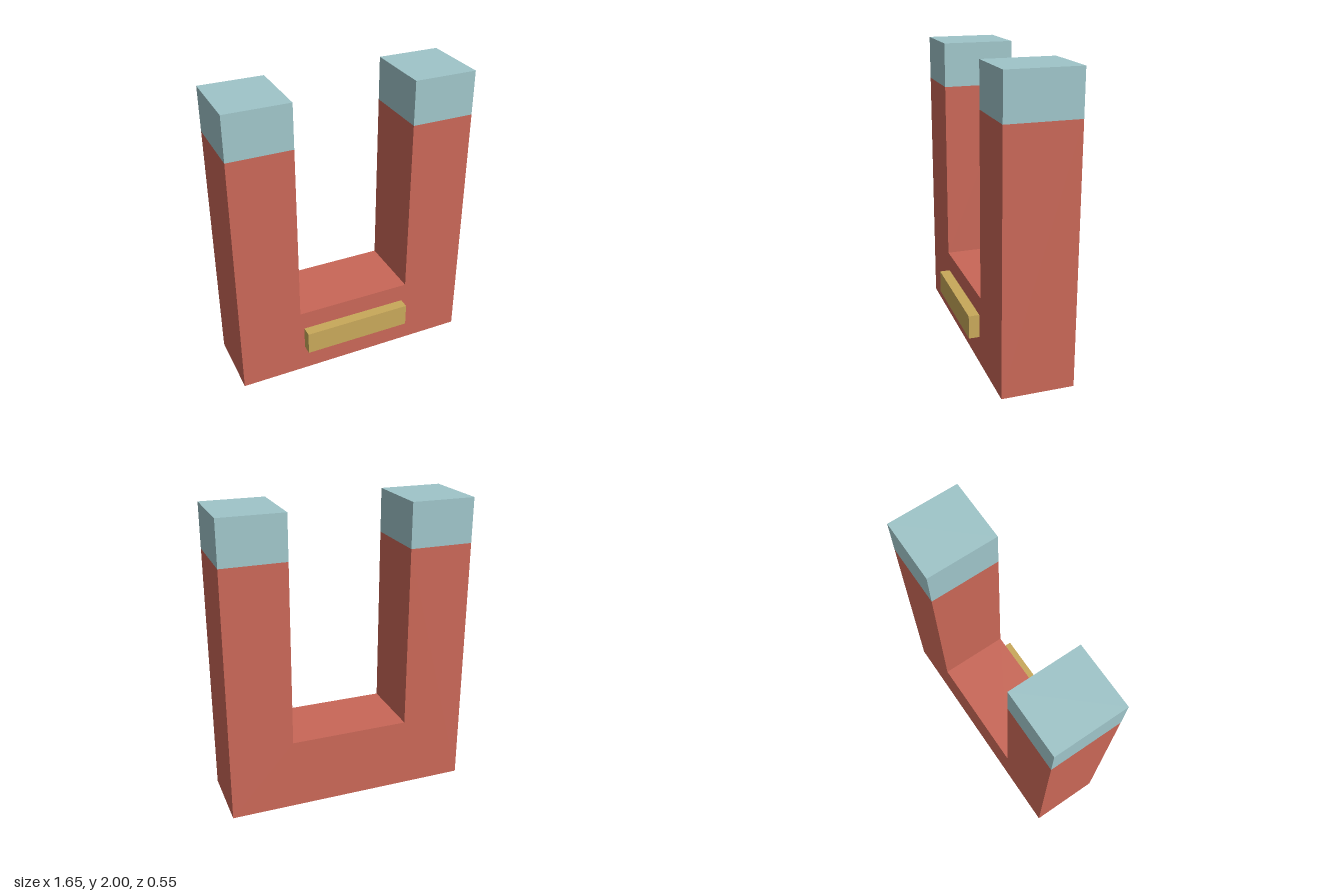
import * as THREE from 'three';

const flat = (name, color) => {
  const material = new THREE.MeshStandardMaterial({ color });
  material.name = name;
  return material;
};

export function createModel() {
  const red = flat('red paint', 0xc96757);
  const steel = flat('pale steel', 0x9fc5c9);
  const brass = flat('brass', 0xc8a85a);

  const outer = 0.825, inner = 0.4, baseTop = 0.48, tipY = 1.705, top = 2;
  const back = -0.275, front = 0.203, depth = front - back, midZ = (front + back) / 2;

  const group = new THREE.Group();
  group.name = 'horseshoe magnet';
  const add = (name, geometry, material, x, y, z) => {
    const mesh = new THREE.Mesh(geometry, material);
    mesh.name = name;
    mesh.position.set(x, y, z);
    group.add(mesh);
  };

  // U-shaped body: two arms joined by a square base
  const profile = new THREE.Shape([
    [-outer, 0], [outer, 0], [outer, tipY], [inner, tipY],
    [inner, baseTop], [-inner, baseTop], [-inner, tipY], [-outer, tipY],
  ].map(([x, y]) => new THREE.Vector2(x, y)));
  add('body', new THREE.ExtrudeGeometry(profile, { depth, bevelEnabled: false }), red, 0, 0, back);

  // Pole tips on both arms
  for (const [name, side] of [['leftTip', 1], ['rightTip', -1]]) {
    add(name, new THREE.BoxGeometry(outer - inner, top - tipY, depth), steel,
      side * (outer + inner) / 2, (top + tipY) / 2, midZ);
  }

  // Raised plate on the front of the base
  const plateDepth = 0.275 - front;
  add('frontPlate', new THREE.BoxGeometry(0.75, 0.16, plateDepth), brass, 0, 0.27, front + plateDepth / 2);

  return group;
}
